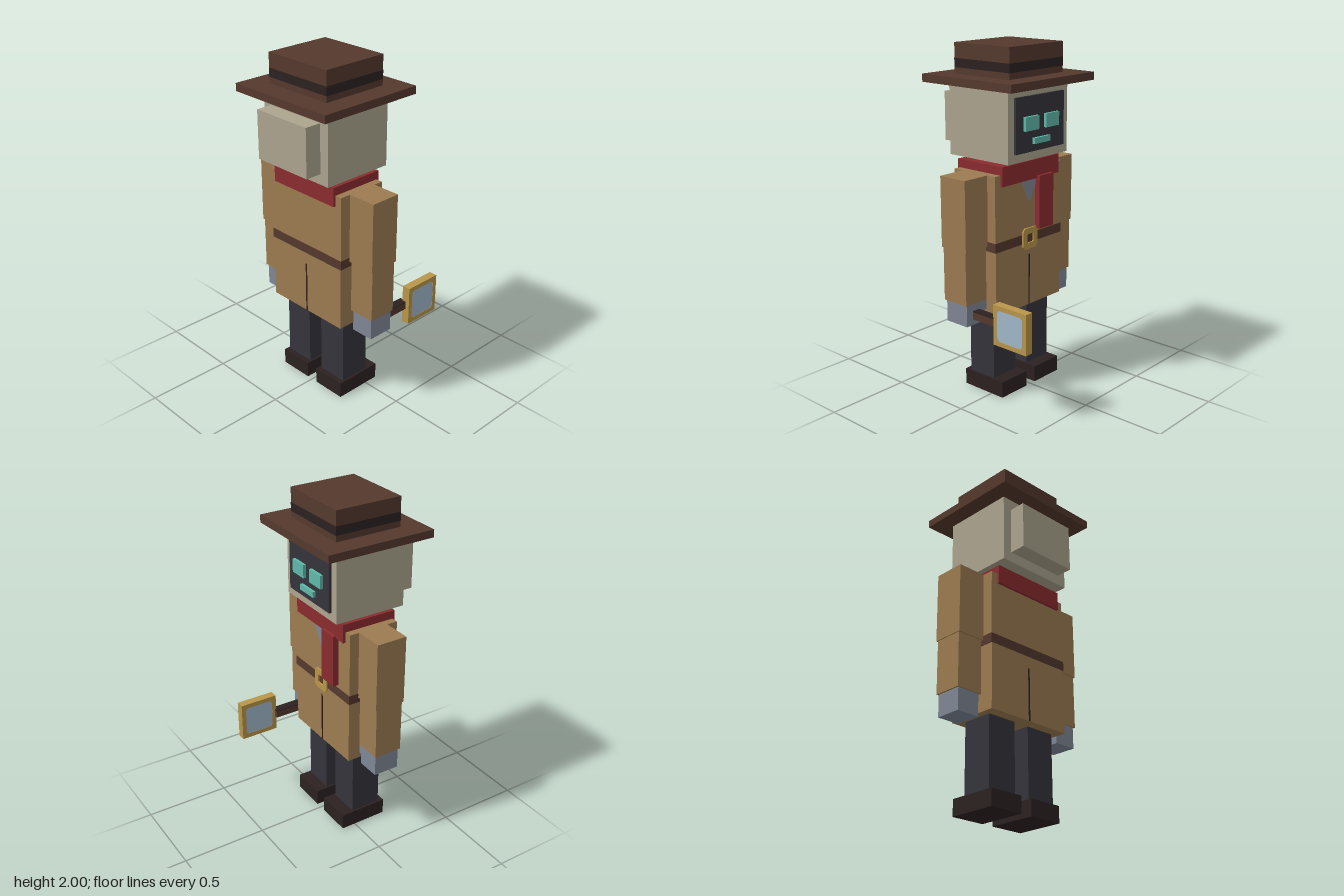
import * as THREE from 'three';

const mat = (name, color) => {
  const m = new THREE.MeshStandardMaterial({ color });
  m.name = name;
  return m;
};

export function createModel() {
  const brown = mat('brown felt and leather', 0x55392d);
  const dark = mat('dark leather', 0x2c2121);
  const beige = mat('beige casing', 0xaca48e);
  const red = mat('red cloth', 0x8b2b2e);
  const tan = mat('tan coat', 0x9d7b51);
  const charcoal = mat('charcoal', 0x35343b);
  const grey = mat('blue grey metal', 0x7f8796);
  const gold = mat('brass', 0xb9964a);
  const glass = mat('pale glass', 0xa2b8ca);
  const teal = mat('teal glow', 0x5fb8aa);

  const model = new THREE.Group();
  model.name = 'robotDetective';

  const add = (name, geometry, material) => {
    const mesh = new THREE.Mesh(geometry, material);
    mesh.name = name;
    model.add(mesh);
    return mesh;
  };
  // Box given by its low and high limits on each axis
  const box = (name, material, x0, x1, y0, y1, z0, z1) => {
    const mesh = add(name, new THREE.BoxGeometry(x1 - x0, y1 - y0, z1 - z0), material);
    mesh.position.set((x0 + x1) / 2, (y0 + y1) / 2, (z0 + z1) / 2);
    return mesh;
  };
  // The same box on both sides of the body
  const pair = (name, material, x0, x1, ...rest) => {
    box(name + 'Left', material, x0, x1, ...rest);
    box(name + 'Right', material, -x1, -x0, ...rest);
  };
  // Square with cut corners, centred on the origin
  const cutSquare = (Type, h, c) => new Type([
    [-h + c, -h], [h - c, -h], [h, -h + c], [h, h - c],
    [h - c, h], [-h + c, h], [-h, h - c], [-h, -h + c],
  ].map(([x, y]) => new THREE.Vector2(x, y)));
  const extrude = (shape, depth) =>
    new THREE.ExtrudeGeometry(shape, { depth, bevelEnabled: false }).translate(0, 0, -depth / 2);

  // Hat
  box('hatBrim', brown, -0.345, 0.345, 1.785, 1.83, -0.245, 0.41);
  box('hatCrownBase', brown, -0.22, 0.22, 1.83, 1.865, -0.122, 0.282);
  box('hatBand', dark, -0.221, 0.221, 1.865, 1.915, -0.123, 0.283);
  box('hatCrownTop', brown, -0.22, 0.22, 1.915, 2, -0.122, 0.282);

  // Monitor head, with its face towards -z
  box('head', beige, -0.247, 0.247, 1.38, 1.785, -0.135, 0.3);
  box('headBack', beige, -0.19, 0.19, 1.44, 1.72, 0.3, 0.397);
  box('screen', charcoal, -0.2, 0.2, 1.43, 1.735, -0.15, -0.135);
  pair('eye', teal, 0.03, 0.14, 1.55, 1.627, -0.167, -0.15);
  box('mouth', teal, -0.065, 0.065, 1.472, 1.505, -0.167, -0.15);
  box('neck', grey, -0.062, 0.062, 1.3, 1.38, 0.02, 0.145);

  // Scarf
  box('scarf', red, -0.237, 0.237, 1.25, 1.36, -0.086, 0.252);
  box('scarfTail', red, -0.17, -0.05, 0.955, 1.265, -0.105, -0.07);

  // Coat, belt and buckle
  box('coatTop', tan, -0.28, 0.28, 0.935, 1.312, -0.07, 0.238);
  box('belt', brown, -0.281, 0.281, 0.88, 0.935, -0.072, 0.24);
  box('coatSkirt', tan, -0.277, 0.277, 0.503, 0.88, -0.07, 0.238);
  box('frontVent', dark, -0.005, 0.005, 0.503, 0.81, -0.072, -0.07);
  box('backVent', dark, -0.005, 0.005, 0.503, 0.81, 0.238, 0.24);
  const ring = cutSquare(THREE.Shape, 0.062, 0.018);
  ring.holes.push(cutSquare(THREE.Path, 0.026, 0.005));
  add('buckle', extrude(ring, 0.009), gold).position.set(0, 0.908, -0.0765);
  const collar = new THREE.Shape([[-0.08, 1.27], [0, 1.12], [0.08, 1.27]]
    .map(([x, y]) => new THREE.Vector2(x, y)));
  add('shirtFront', extrude(collar, 0.004), grey).position.z = -0.072;

  // Arms and hands
  pair('upperArm', tan, 0.28, 0.452, 0.91, 1.312, -0.012, 0.173);
  pair('forearm', tan, 0.287, 0.447, 0.6, 0.91, -0.004, 0.165);
  pair('hand', grey, 0.297, 0.437, 0.473, 0.6, 0.003, 0.157);
  pair('thumb', grey, 0.265, 0.3, 0.535, 0.63, 0.005, 0.06);

  // Legs and shoes
  pair('leg', charcoal, 0.05, 0.235, 0.095, 0.503, -0.01, 0.175);
  pair('shoe', dark, 0.037, 0.247, 0, 0.095, -0.085, 0.207);

  // Square magnifying glass in the left hand
  box('magnifierHandle', brown, 0.34, 0.39, 0.507, 0.55, -0.185, 0.02);
  box('magnifierGrip', dark, 0.34, 0.39, 0.55, 0.555, -0.185, 0.02);
  const frame = new THREE.Shape([[-0.117, -0.117], [0.117, -0.117], [0.117, 0.117], [-0.117, 0.117]]
    .map(([x, y]) => new THREE.Vector2(x, y)));
  frame.holes.push(cutSquare(THREE.Path, 0.09, 0.014));
  const lens = cutSquare(THREE.Shape, 0.09, 0.014);
  for (const [name, shape, depth, material] of [
    ['magnifierFrame', frame, 0.05, gold], ['magnifierLens', lens, 0.047, glass],
  ]) {
    const part = add(name, extrude(shape, depth), material);
    part.rotation.y = Math.PI / 2;
    part.position.set(0.39, 0.533, -0.293);
  }

  return model;
}
